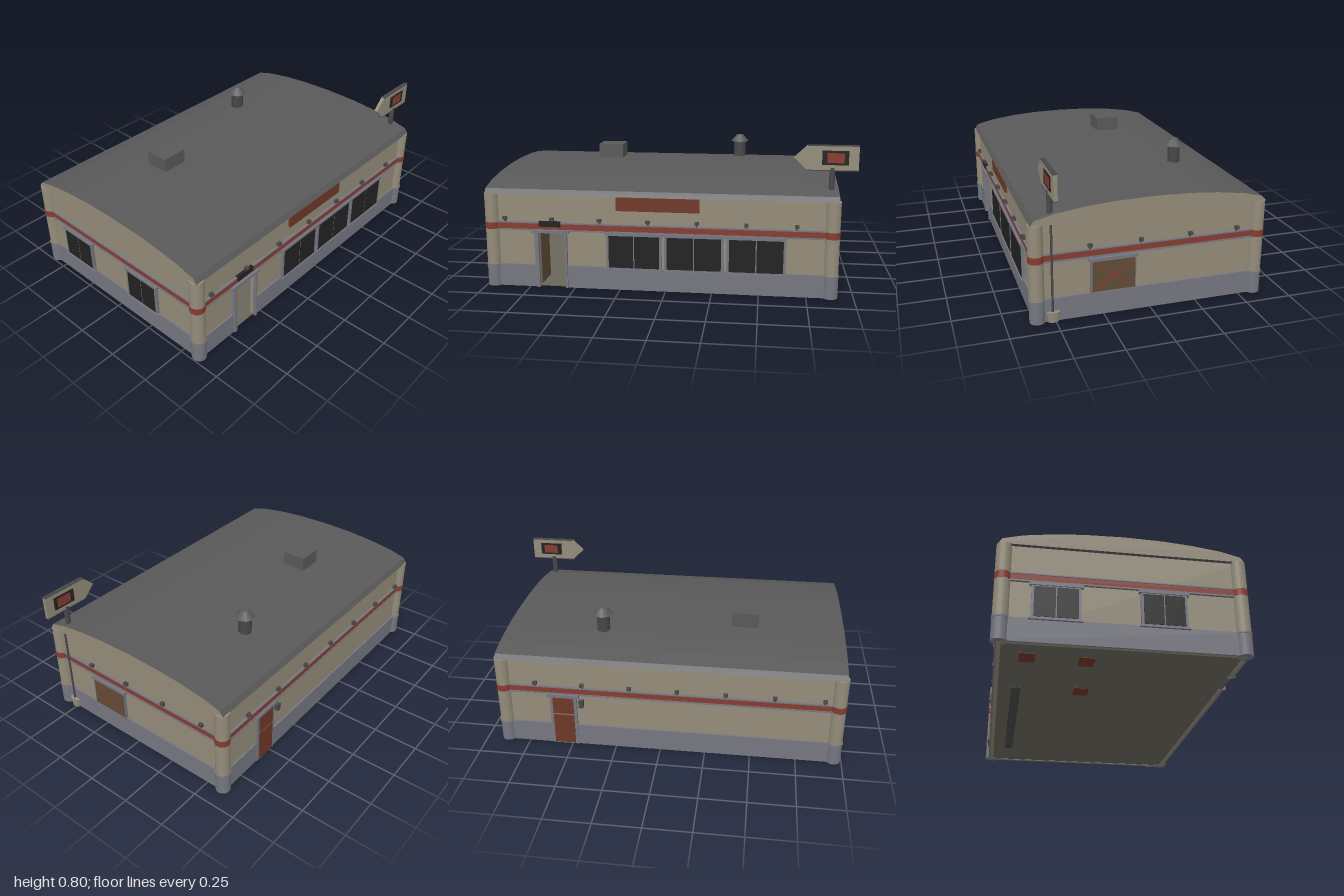
import * as THREE from 'three';

const mat = (name, color, side = THREE.FrontSide) => {
  const m = new THREE.MeshStandardMaterial({ color, side });
  m.name = name;
  return m;
};

export function createModel() {
  const root = new THREE.Group();
  root.name = 'diner';
  const tan = mat('tan plaster', 0x948c7a);
  const grey = mat('blue grey trim', 0x767680);
  const roofGrey = mat('roof grey', 0x595959);
  const red = mat('stripe red', 0x853c30);
  const rust = mat('rust red', 0x6e3828);
  const black = mat('dark glass', 0x222223);
  const brown = mat('board brown', 0x5f4d36);
  const metal = mat('dark metal', 0x48484a);
  const floorMat = mat('floor', 0x69655a);

  const add = (name, geo, m, x = 0, y = 0, z = 0) => {
    const mesh = new THREE.Mesh(geo, m);
    mesh.name = name;
    mesh.position.set(x, y, z);
    root.add(mesh);
    return mesh;
  };
  const box = (name, m, x0, x1, y0, y1, z0, z1) =>
    add(name, new THREE.BoxGeometry(x1 - x0, y1 - y0, z1 - z0), m, (x0 + x1) / 2, (y0 + y1) / 2, (z0 + z1) / 2);

  // Outer wall planes; on() places a box on a wall from depth d0 to d1 outwards
  const R = 0.885, L = -0.965, F = 0.6;
  const on = (side, name, m, u0, u1, y0, y1, d1, d0 = 0) => {
    if (side === 'front') return box(name, m, u0, u1, y0, y1, F + d0, F + d1);
    if (side === 'back') return box(name, m, u0, u1, y0, y1, -F - d1, -F - d0);
    if (side === 'right') return box(name, m, R + d0, R + d1, y0, y1, u0, u1);
    return box(name, m, L - d1, L - d0, y0, y1, u0, u1);
  };
  const span = { front: [L, R], back: [L, R], left: [-F, F], right: [-F, F] };
  const sides = Object.keys(span);

  // Walls, skirting and stripe, leaving the front doorway open
  const D0 = -0.695, D1 = -0.55, DH = 0.31;
  const T = -0.02;
  for (const s of sides) {
    const [a, b] = span[s];
    if (s === 'front') {
      on(s, 'frontWallLeft', tan, a, D0, 0, 0.525, 0, T);
      on(s, 'frontWallRight', tan, D1, b, 0, 0.525, 0, T);
      on(s, 'frontWallTop', tan, D0, D1, DH, 0.525, 0, T);
      on(s, 'skirting', grey, a, D0, 0, 0.125, 0.01);
      on(s, 'skirting', grey, D1, b, 0, 0.125, 0.01);
    } else {
      on(s, s + 'Wall', tan, a, b, 0, 0.525, 0, T);
      on(s, 'skirting', grey, a, b, 0, 0.125, 0.01);
    }
    on(s, 'stripe', red, a, b, 0.328, 0.36, 0.009);
    on(s, 'stripeTrimLow', grey, a, b, 0.32, 0.328, 0.013);
    on(s, 'stripeTrimHigh', grey, a, b, 0.36, 0.367, 0.013);
  }
  box('floor', floorMat, L, R, 0.002, 0.008, -F, F);

  // Plates on the underside
  box('floorStrip', metal, -0.42, 0.62, 0, 0.002, -0.51, -0.46);
  for (const [x, z] of [[-0.41, -0.14], [-0.79, -0.16], [-0.8, -0.45]])
    box('floorPlate', rust, x - 0.05, x + 0.05, 0, 0.002, z - 0.04, z + 0.04);

  // Corner columns
  const cyl = (name, m, r, y0, y1, x, z, n = 20, r2 = r) =>
    add(name, new THREE.CylinderGeometry(r2, r, y1 - y0, n), m, x, (y0 + y1) / 2, z);
  for (const x of [-0.957, 0.877]) for (const z of [-0.59, 0.59]) {
    cyl('columnFoot', grey, 0.04, 0, 0.115, x, z);
    cyl('columnRing', grey, 0.043, 0.115, 0.125, x, z);
    cyl('column', tan, 0.039, 0.125, 0.522, x, z);
    cyl('columnBand', red, 0.041, 0.326, 0.362, x, z);
  }

  // Curved roof with plaster gables
  const half = [[0.62, 0.52], [0.6, 0.548], [0.5, 0.574], [0.35, 0.595], [0.2, 0.607]];
  const profile = [...half, [0, 0.612], ...half.slice().reverse().map(([z, y]) => [-z, y])];
  const roofGeo = new THREE.ExtrudeGeometry(
    new THREE.Shape(profile.map(([z, y]) => new THREE.Vector2(z, y))),
    { depth: 1.89, bevelEnabled: false });
  roofGeo.rotateY(Math.PI / 2);
  add('roof', roofGeo, [tan, roofGrey], -0.985);

  // Roof box and chimney
  box('roofBox', roofGrey, -0.51, -0.36, 0.58, 0.69, -0.23, -0.09);
  cyl('chimney', metal, 0.037, 0.57, 0.695, 0.355, -0.33, 8);
  cyl('chimneyCap', roofGrey, 0.055, 0.692, 0.732, 0.355, -0.33, 8, 0.02);

  // Windows: surround, panes, cap and sill
  const windowOn = (s, a, b, y0, y1, wide) => {
    on(s, 'windowFrame', grey, a, b, y0, y1, 0.016);
    const mid = (a + b) / 2, e = 0.013;
    on(s, 'windowPane', black, a + e, mid - 0.003, y0 + 0.008, y1 - 0.02, 0.018);
    on(s, 'windowPane', black, mid + 0.003, b - e, y0 + 0.008, y1 - 0.02, 0.018);
    on(s, 'windowCap', grey, a - wide, b + wide, y1 - 0.014, y1, 0.022);
    on(s, 'windowSill', grey, a - wide, b + wide, y0 - 0.008, y0, 0.022);
  };
  for (const [a, b] of [[-0.32, -0.02], [-0.005, 0.312], [0.328, 0.64]]) windowOn('front', a, b, 0.12, 0.325, 0.005);
  for (const [a, b] of [[0.08, 0.31], [-0.45, -0.21]]) windowOn('left', a, b, 0.125, 0.315, 0.01);

  // Boarded window with a red cross
  on('right', 'boardedFrame', grey, 0.08, 0.318, 0.125, 0.315, 0.014);
  on('right', 'boardedCap', grey, 0.07, 0.325, 0.298, 0.315, 0.022);
  on('right', 'boardedSill', grey, 0.085, 0.31, 0.108, 0.126, 0.016);
  on('right', 'boards', brown, 0.086, 0.31, 0.132, 0.296, 0.017);
  for (const s of [-1, 1]) {
    const bar = add('crossStroke', new THREE.BoxGeometry(0.003, 0.009, 0.25), red, R + 0.0175, 0.213, 0.198);
    bar.rotation.x = s * 0.64;
  }

  // Front doorway with the door swung inwards
  on('front', 'doorFrameLeft', grey, D0 - 0.022, D0, 0, DH, 0.018);
  on('front', 'doorFrameRight', grey, D1, D1 + 0.012, 0, DH, 0.018);
  on('front', 'doorCap', grey, -0.735, -0.525, DH, 0.326, 0.024);
  box('openDoor', brown, D0 - 0.01, D0 + 0.004, 0.01, DH, 0.43, 0.58);
  on('front', 'doorLampPanel', black, -0.69, -0.572, 0.345, 0.373, 0.02);
  on('front', 'nameBoard', rust, -0.265, 0.182, 0.443, 0.515, 0.014);

  // Back door and its wall light
  on('back', 'backDoorFrame', grey, 0.465, 0.615, 0, 0.31, 0.014);
  on('back', 'backDoorCap', grey, 0.45, 0.63, 0.305, 0.322, 0.022);
  on('back', 'backDoorLower', rust, 0.482, 0.598, 0.008, 0.19, 0.018);
  on('back', 'backDoorUpper', rust, 0.482, 0.598, 0.2, 0.298, 0.018);
  on('back', 'backLight', metal, 0.425, 0.45, 0.25, 0.29, 0.028);

  // Small lamps along the walls
  const lamp = (s, u) => {
    on(s, 'lampArm', metal, u - 0.004, u + 0.004, 0.367, 0.385, 0.012);
    on(s, 'lampHead', metal, u - 0.011, u + 0.011, 0.378, 0.395, 0.022, 0.004);
  };
  for (let i = 0; i < 7; i++) {
    lamp('front', -0.88 + i * 0.262);
    lamp('back', -0.88 + i * 0.262);
  }
  for (const z of [0.32, 0.055, -0.21, -0.47]) lamp('right', z);

  // Downpipe and bucket
  cyl('downpipe', metal, 0.006, 0.05, 0.52, R + 0.014, 0.515, 8);
  const bucket = cyl('bucket', tan, 0.028, 0, 0.055, R + 0.012, 0.512, 12, 0.036);
  bucket.scale.x = 0.6;

  // Arrow sign on its post
  cyl('signPost', metal, 0.015, 0.55, 0.685, 0.867, 0.512, 10);
  const arrow = new THREE.Shape([[1, 0.672], [1, 0.8], [0.735, 0.8], [0.668, 0.736], [0.735, 0.672]]
    .map(p => new THREE.Vector2(...p)));
  add('arrowSign', new THREE.ExtrudeGeometry(arrow, { depth: 0.02, bevelEnabled: false }), tan, 0, 0, 0.502);
  box('signTopEdge', metal, 0.735, 1, 0.798, 0.803, 0.501, 0.523);
  box('signBottomEdge', metal, 0.735, 1, 0.668, 0.673, 0.501, 0.523);
  for (const [z, d] of [[0.522, 1], [0.502, -1]]) {
    const plate = (name, m, x0, x1, y0, y1, t) =>
      box(name, m, x0, x1, y0, y1, Math.min(z, z + d * t), Math.max(z, z + d * t));
    plate('signScreen', black, 0.812, 0.948, 0.7, 0.775, 0.003);
    plate('signMark', red, 0.838, 0.926, 0.711, 0.763, 0.005);
  }
  return root;
}
